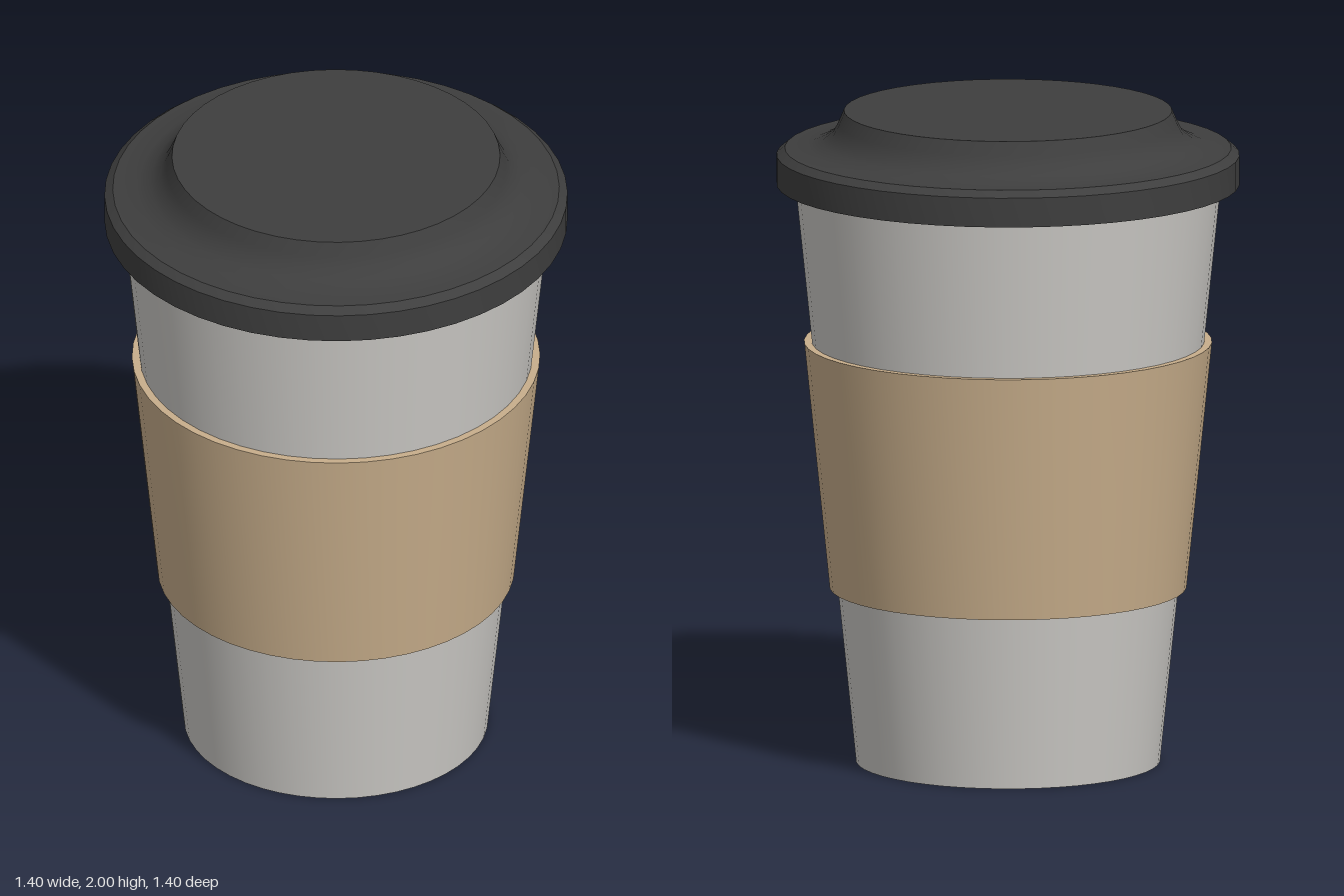
import * as THREE from 'three';
import { toCreasedNormals } from 'three/addons/utils/BufferGeometryUtils.js';

const SEGMENTS = 48;

function material(name, color) {
  const m = new THREE.MeshStandardMaterial({ color });
  m.name = name;
  return m;
}

// Revolve a [radius, height] profile, smooth around and sharp at the rims.
function turned(name, profile, mat) {
  const points = profile.map(([r, y]) => new THREE.Vector2(r, y));
  const geometry = toCreasedNormals(new THREE.LatheGeometry(points, SEGMENTS), 0.6);
  const mesh = new THREE.Mesh(geometry, mat);
  mesh.name = name;
  return mesh;
}

export function createModel() {
  const group = new THREE.Group();
  group.name = 'travelCup';

  const paper = material('light grey', 0xcccac6);
  const cardboard = material('tan cardboard', 0xc8ae8b);
  const plastic = material('dark grey', 0x3e3e3e);

  // Tapered cup: recessed base, foot rim, outer wall, then the inside
  group.add(turned('cup', [
    [0, 0.07], [0.44, 0.07], [0.452, 0], [0.46, 0],
    [0.652, 1.855], [0.635, 1.855], [0.455, 0.09], [0, 0.09],
  ], paper));

  // Sleeve: a thin tapered band, closed at both edges
  group.add(turned('sleeve', [
    [0.512, 0.535], [0.54, 0.535], [0.617, 1.29], [0.59, 1.29], [0.512, 0.535],
  ], cardboard));

  // Lid: hollow skirt, chamfered rim, curved step and raised flat top
  group.add(turned('lid', [
    [0, 1.86], [0.675, 1.86], [0.675, 1.775], [0.7, 1.775],
    [0.7, 1.865], [0.675, 1.885], [0.6, 1.888], [0.56, 1.905],
    [0.53, 1.928], [0.513, 1.96], [0.496, 2], [0, 2],
  ], plastic));

  return group;
}
